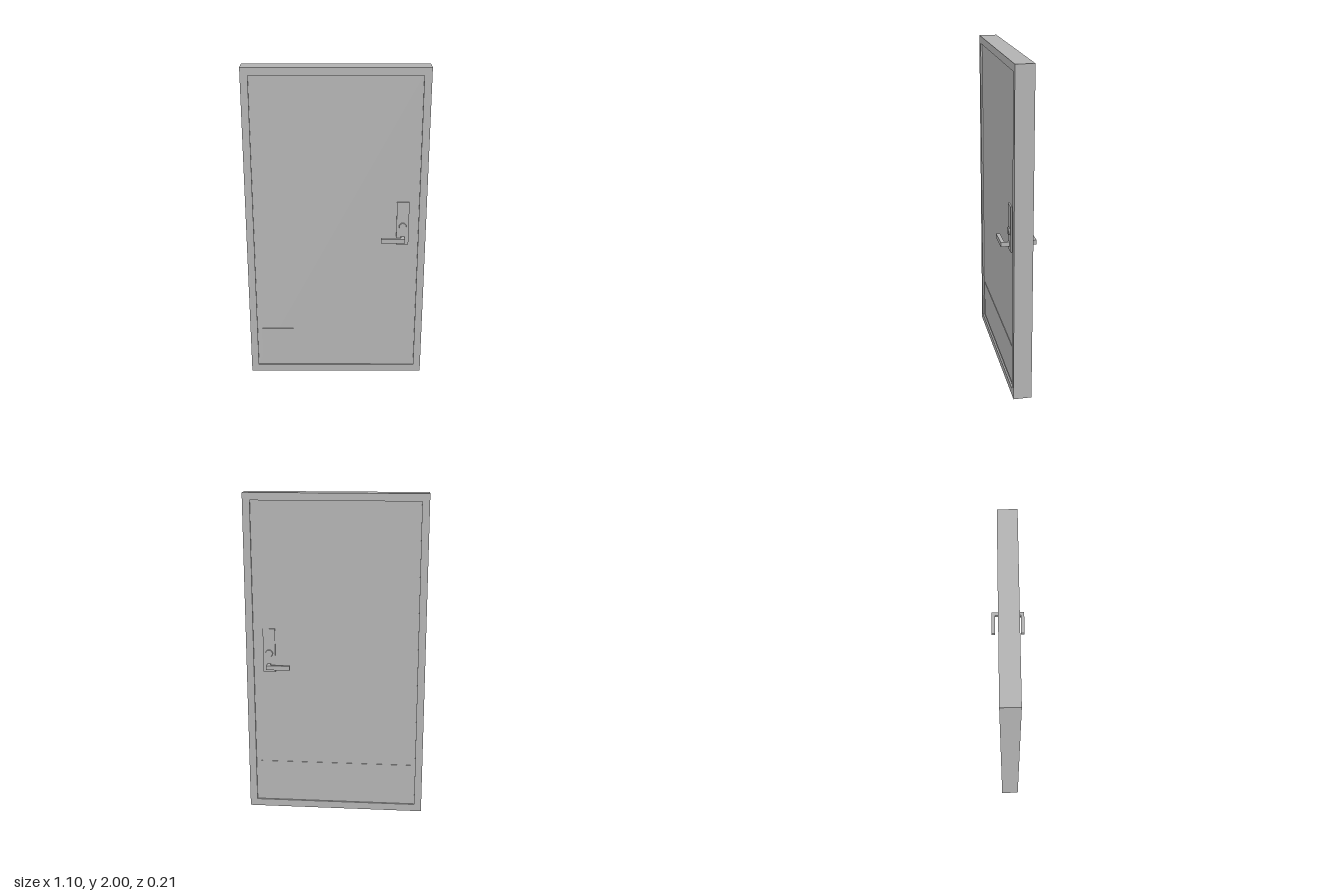
import * as THREE from 'three';

export function createModel() {
  const model = new THREE.Group();
  const steel = new THREE.MeshStandardMaterial({ color: 0xb2b2b2 });
  steel.name = 'grey steel';

  const add = (parent, name, geometry, x, y, z) => {
    const mesh = new THREE.Mesh(geometry, steel);
    mesh.name = name;
    mesh.position.set(x, y, z);
    parent.add(mesh);
    return mesh;
  };
  const polygon = (Type, points) => new Type(points.map(p => new THREE.Vector2(...p)));
  const extrude = (shape, depth) => new THREE.ExtrudeGeometry(shape, { depth, bevelEnabled: false });

  // Surrounding frame with one rectangular opening
  const W = 0.55, H = 2, D = 0.055, B = 0.045;
  const outline = polygon(THREE.Shape, [[-W, 0], [W, 0], [W, H], [-W, H]]);
  outline.holes.push(polygon(THREE.Path,
    [[-W + B, B], [-W + B, H - B], [W - B, H - B], [W - B, B]]));
  add(model, 'frame', extrude(outline, 2 * D), 0, 0, -D);

  // Door leaf, slightly recessed on both sides
  const face = 0.045;
  add(model, 'doorLeaf', new THREE.BoxGeometry(2 * (W - B), H - 2 * B, 2 * face), 0, H / 2, 0);

  // L-shaped lever seen from above (x, z), extruded upwards
  const lever = extrude(polygon(THREE.Shape, [
    [0.398, -face], [0.42, -face], [0.42, -0.105],
    [0.275, -0.105], [0.275, -0.083], [0.398, -0.083],
  ].reverse()), 0.027);
  lever.rotateX(-Math.PI / 2);

  // Fittings for one face; the other face is a mirror image
  for (const side of [1, -1]) {
    const fittings = new THREE.Group();
    fittings.name = side > 0 ? 'frontFittings' : 'backFittings';
    fittings.scale.z = side;
    model.add(fittings);
    add(fittings, 'kickPlate', new THREE.BoxGeometry(0.95, 0.245, 0.003), 0, 0.1875, face + 0.0015);
    add(fittings, 'lockPlate', new THREE.BoxGeometry(0.075, 0.275, 0.009), 0.408, 1.043, face + 0.0045);
    const lock = new THREE.CylinderGeometry(0.021, 0.025, 0.017, 32);
    lock.rotateX(Math.PI / 2);
    add(fittings, 'lockCylinder', lock, 0.408, 1.025, face + 0.0085);
    add(fittings, 'leverHandle', lever, 0, 0.932, 0);
  }
  return model;
}
